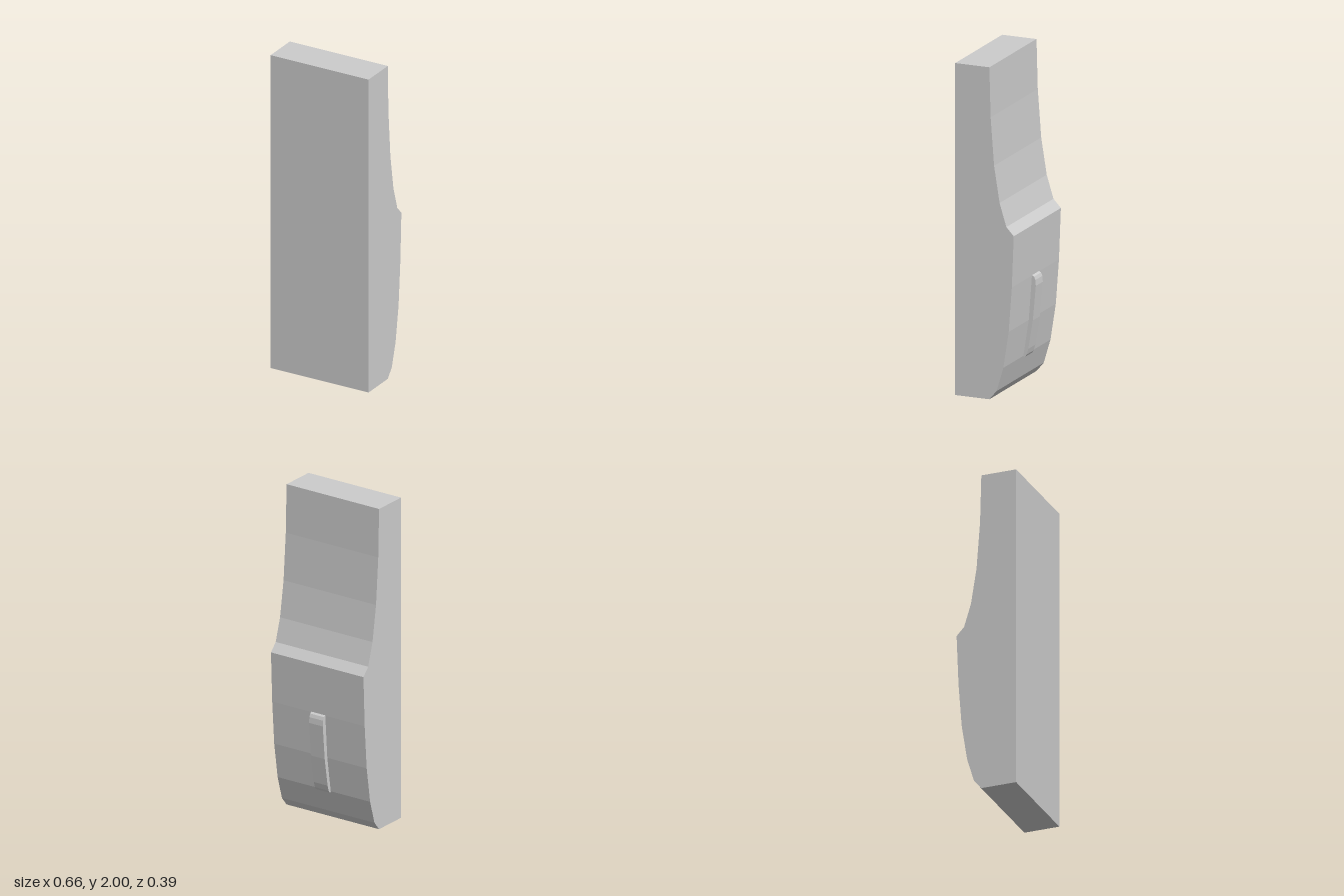
import * as THREE from 'three';

const material = new THREE.MeshStandardMaterial({ color: 0xcccccc, flatShading: true });

// Side profile as [depth towards the back, height], swept across the width
function sweep(name, profile, width) {
  const shape = new THREE.Shape(profile.map(([d, y]) => new THREE.Vector2(d, y)));
  const geometry = new THREE.ExtrudeGeometry(shape, { depth: width, bevelEnabled: false, steps: 1 });
  geometry.translate(0, 0, -width / 2).rotateY(Math.PI / 2);
  const mesh = new THREE.Mesh(geometry, material);
  mesh.name = name;
  return mesh;
}

export function createModel() {
  const model = new THREE.Group();
  model.name = 'contouredPanel';

  // Flat-fronted body: bulging lower back, ridge, concave upper back
  model.add(sweep('body', [
    [-0.193, 0], [0.025, 0], [0.071, 0.055], [0.114, 0.2], [0.148, 0.42],
    [0.168, 0.69], [0.18, 1.0], [0.133, 1.05], [0.09, 1.19],
    [0.055, 1.41], [0.033, 1.7], [0.025, 2], [-0.193, 2],
  ], 0.66));

  // Raised strip following the lower back, its inner side sunk into the body
  model.add(sweep('backStrip', [
    [0.1, 0.195], [0.125, 0.195], [0.135, 0.21], [0.145, 0.245], [0.174, 0.42],
    [0.193, 0.63], [0.19, 0.665], [0.182, 0.685], [0.168, 0.692], [0.15, 0.692],
    [0.13, 0.42],
  ], 0.098));

  return model;
}
